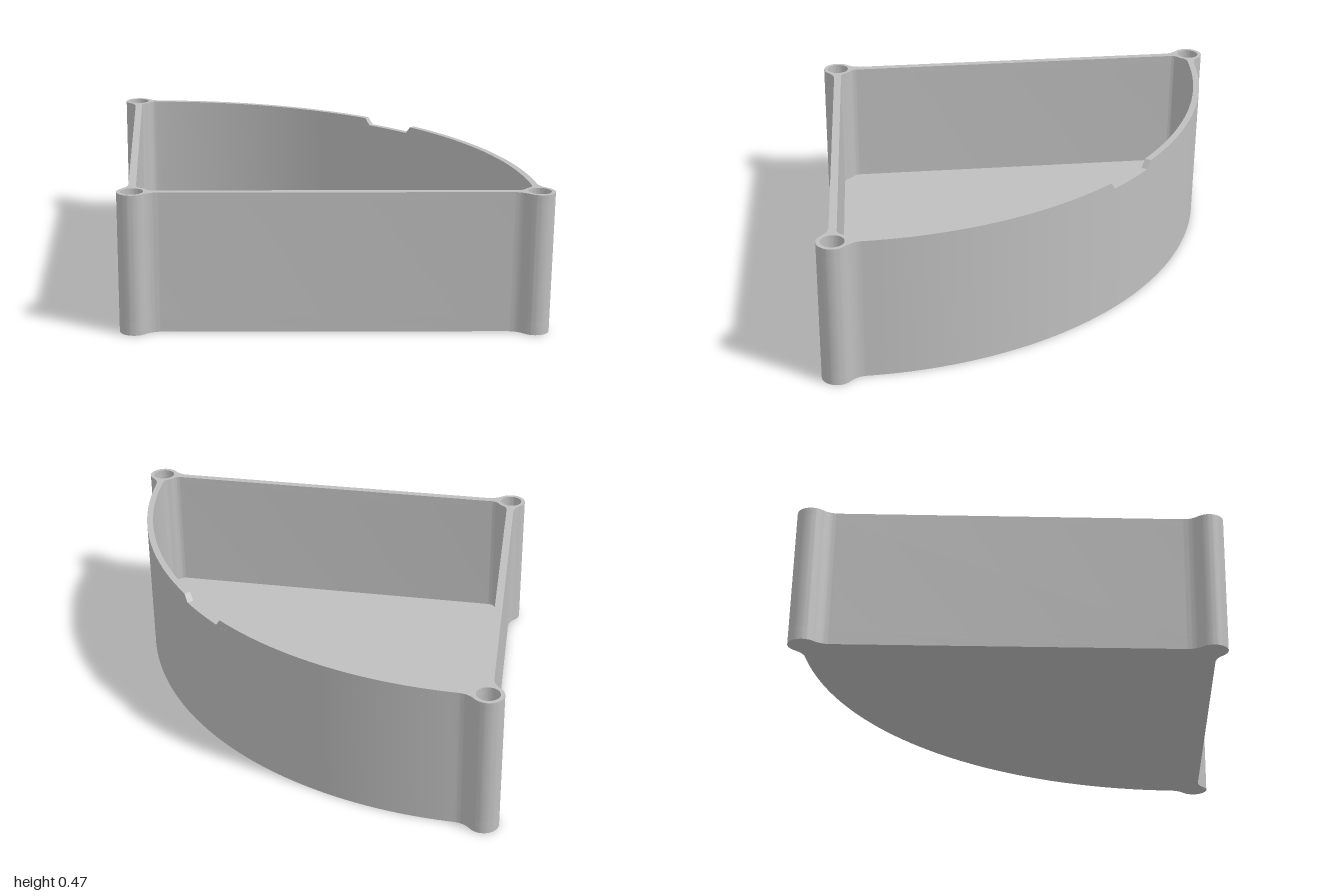
import * as THREE from 'three';
import { toCreasedNormals } from 'three/addons/utils/BufferGeometryUtils.js';

const V = (x, y) => new THREE.Vector2(x, y);
const ang = v => Math.atan2(v.y, v.x);

// Main dimensions, measured from the apex post of the sector
const APEX_X = -0.637, HEIGHT = 0.475, FLOOR = 0.045, NOTCH_Y = 0.45;
const R_OUT = 1.317, R_IN = 1.296, POST_R = 0.05, HOLE_R = 0.037, HALF_WALL = 0.0125;
const POST_DIST = 1.31, POST_ANGLE = 0.8115;
const NOTCH_TOP = 0.083, NOTCH_BOTTOM = 0.068; // half angles of the notch

const O = V(0, 0);
const dir = V(Math.cos(POST_ANGLE), Math.sin(POST_ANGLE));
const nor = V(-dir.y, dir.x);
const P = dir.clone().multiplyScalar(POST_DIST);

function arc(pts, c, r, a0, a1, ccw, n = 10) {
  const turn = Math.PI * 2;
  let d = (((a1 - a0) % turn) + turn) % turn;
  if (!ccw) d -= turn;
  for (let i = 0; i <= n; i++) {
    const a = a0 + d * i / n;
    pts.push(V(c.x + r * Math.cos(a), c.y + r * Math.sin(a)));
  }
}

// Half outline from the middle of the curved wall to the apex post.
// side = 1: outside of the walls, side = -1: inside of the walls.
function halfOutline(side, start) {
  const pts = [], outer = side > 0;
  const f = outer ? 0.07 : 0.03, reach = POST_R + f;
  const R = outer ? R_OUT : R_IN, fr = R + side * f;
  // curved wall, blended into the corner post
  const phi = POST_ANGLE - Math.acos((fr * fr + POST_DIST ** 2 - reach * reach) / (2 * fr * POST_DIST));
  const F1 = V(fr * Math.cos(phi), fr * Math.sin(phi));
  const off = HALF_WALL + f, s = Math.sqrt(reach * reach - off * off);
  const F2 = P.clone().addScaledVector(dir, -s).addScaledVector(nor, side * off);
  const F3 = dir.clone().multiplyScalar(s).addScaledVector(nor, side * off);
  const toWall = ang(nor.clone().multiplyScalar(-side));
  const to = (a, b) => ang(b.clone().sub(a));
  arc(pts, O, R, start, phi, true, 36);
  arc(pts, F1, f, outer ? phi + Math.PI : phi, to(F1, P), !outer);
  arc(pts, P, POST_R, to(P, F1), to(P, F2), outer, outer ? 24 : 6);
  // straight wall, blended into both posts
  arc(pts, F2, f, to(F2, P), toWall, !outer);
  arc(pts, F3, f, toWall, to(F3, O), !outer);
  arc(pts, O, POST_R, ang(F3), outer ? Math.PI : 0, outer, outer ? 12 : 4);
  return pts;
}

function outline(side, start = 0) {
  const half = halfOutline(side, start);
  const mirrored = half.map(p => V(p.x, -p.y)).reverse().slice(1);
  if (start === 0) mirrored.pop();
  return [...half, ...mirrored].filter((p, i, a) => i === 0 || p.distanceTo(a[i - 1]) > 1e-5);
}

function addPostHoles(shape) {
  for (const c of [O, P, V(P.x, -P.y)]) {
    const h = new THREE.Path();
    h.absarc(c.x, c.y, HOLE_R, 0, Math.PI * 2, true);
    shape.holes.push(h);
  }
  return shape;
}

function layer(name, shape, y0, y1, material, reshape) {
  const g = new THREE.ExtrudeGeometry(shape, { depth: y1 - y0, bevelEnabled: false, curveSegments: 28 });
  if (reshape) reshape(g.attributes.position);
  g.rotateX(-Math.PI / 2);
  g.translate(APEX_X, y0, 0);
  const mesh = new THREE.Mesh(toCreasedNormals(g, 0.6), material);
  mesh.name = name;
  return mesh;
}

export function createModel() {
  const group = new THREE.Group();
  group.name = 'sectorTray';
  const grey = new THREE.MeshStandardMaterial({ color: 0xbfbfbf });
  grey.name = 'grey plastic';

  // Solid floor
  group.add(layer('floor', new THREE.Shape(outline(1)), 0, FLOOR, grey));

  // Walls and hollow corner posts
  const walls = new THREE.Shape(outline(1));
  walls.holes.push(new THREE.Path(outline(-1)));
  group.add(layer('wallsAndPosts', addPostHoles(walls), FLOOR, NOTCH_Y, grey));

  // Rim, open at the notch in the middle of the curved wall
  const rim = new THREE.Shape([...outline(1, NOTCH_TOP), ...outline(-1, NOTCH_TOP).reverse()]);
  group.add(layer('notchedRim', addPostHoles(rim), NOTCH_Y, HEIGHT, grey, pos => {
    // slope the notch ends inward at their foot
    for (let i = 0; i < pos.count; i++) {
      const x = pos.getX(i), y = pos.getY(i), r = Math.hypot(x, y);
      if (pos.getZ(i) < 1e-4 && r > 1.2 && Math.abs(y) < r * Math.sin(NOTCH_TOP + 0.001)) {
        const a = Math.sign(y) * NOTCH_BOTTOM;
        pos.setXY(i, r * Math.cos(a), r * Math.sin(a));
      }
    }
  }));
  return group;
}
